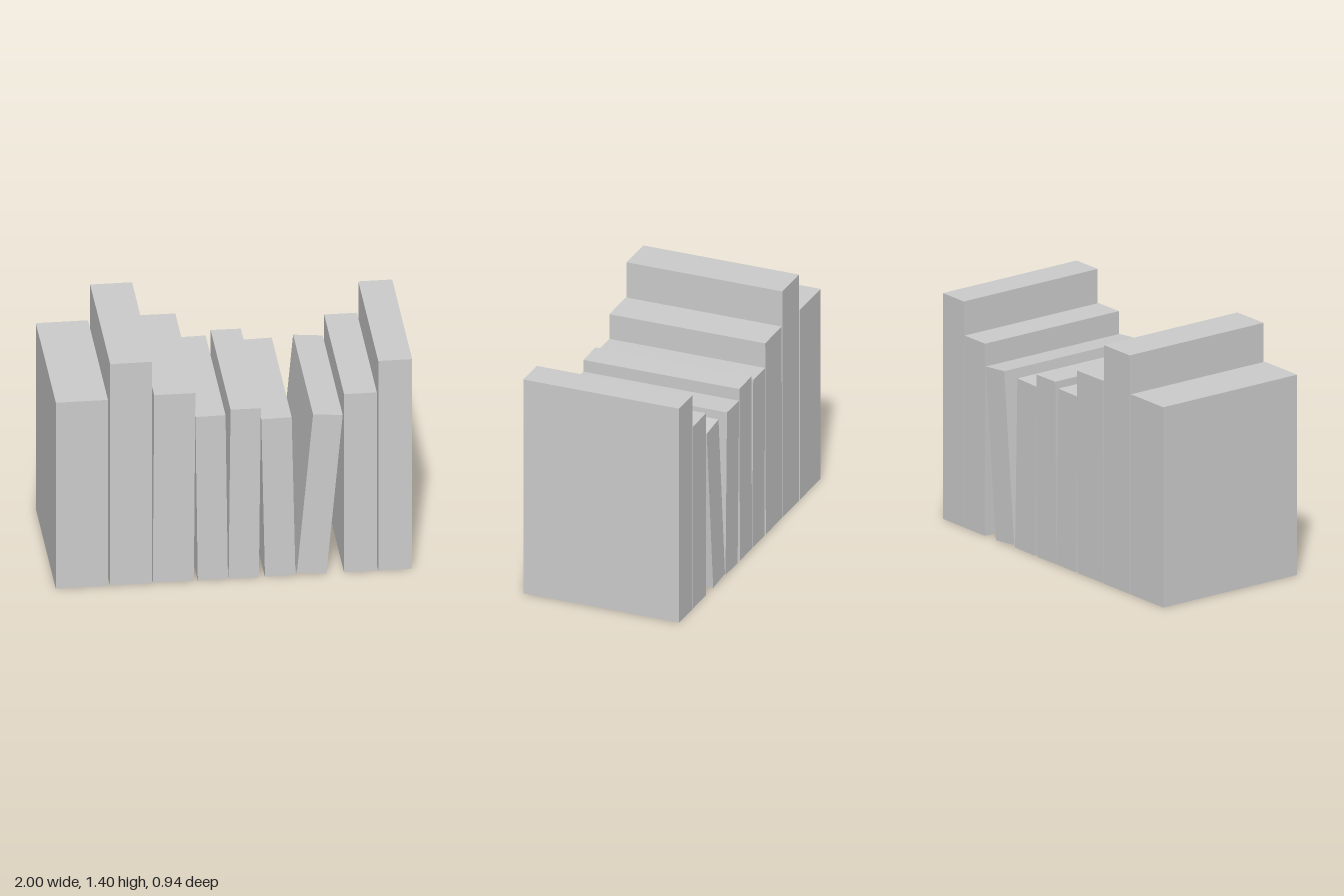
import * as THREE from 'three';

const DEPTH = 0.945;

// left edge at the foot, width, height, lean (radians, positive leans towards +x)
const BOOKS = [
  [-1.0, 0.293, 1.175, 0],
  [-0.695, 0.235, 1.4, 0],
  [-0.456, 0.231, 1.187, 0.007],
  [-0.203, 0.169, 1.035, -0.013],
  [-0.03, 0.17, 1.068, 0.01],
  [0.174, 0.171, 0.997, -0.021],
  [0.353, 0.167, 1.0, 0.091],
  [0.618, 0.184, 1.127, 0],
  [0.81, 0.19, 1.325, 0],
];

export function createModel() {
  const model = new THREE.Group();
  model.name = 'bookRow';
  const material = new THREE.MeshStandardMaterial({ color: 0xcccccc, flatShading: true });

  BOOKS.forEach(([left, width, height, lean], i) => {
    // Each book pivots on the bottom edge it leans over, so that edge rests on the ground
    const side = lean > 0 ? 1 : -1;
    const geometry = new THREE.BoxGeometry(width, height, DEPTH);
    geometry.translate(-side * width / 2, height / 2, 0);
    const book = new THREE.Mesh(geometry, material);
    book.name = `book${i + 1}`;
    book.position.x = side > 0 ? left + width * Math.cos(lean) : left;
    book.rotation.z = -lean;
    model.add(book);
  });

  return model;
}
